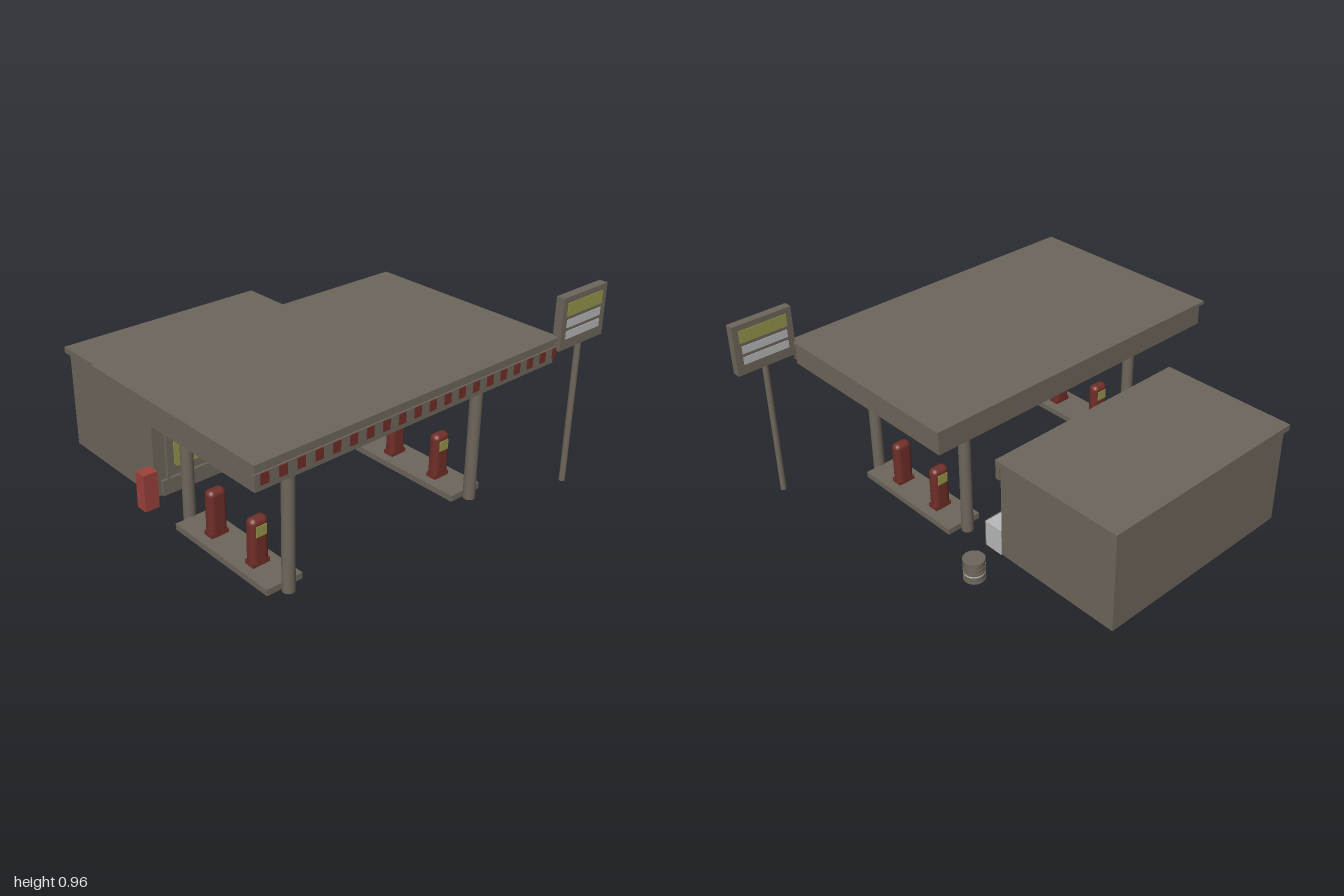
import * as THREE from 'three';
import { RoundedBoxGeometry } from 'three/addons/geometries/RoundedBoxGeometry.js';

export function createModel() {
  const root = new THREE.Group();
  root.name = 'fillingStation';
  const mat = (name, color) => {
    const m = new THREE.MeshStandardMaterial({ color });
    m.name = name;
    return m;
  };
  const stone = mat('warm grey', 0x6e665b);
  const darkRed = mat('dark red', 0x702e28);
  const red = mat('red', 0x9a423c);
  const olive = mat('olive yellow', 0x96964c);
  const pale = mat('pale grey', 0xb8b9ba);

  const add = (parent, name, geo, material, x = 0, y = 0, z = 0) => {
    const m = new THREE.Mesh(geo, material);
    m.name = name;
    m.position.set(x, y, z);
    parent.add(m);
    return m;
  };
  // Box given by its low and high limits on each axis
  const box = (parent, name, material, x0, x1, y0, y1, z0, z1) =>
    add(parent, name, new THREE.BoxGeometry(x1 - x0, y1 - y0, z1 - z0), material,
      (x0 + x1) / 2, (y0 + y1) / 2, (z0 + z1) / 2);
  const post = (parent, name, r, y0, y1, x, z, material = stone) =>
    add(parent, name, new THREE.CylinderGeometry(r, r, y1 - y0, 24), material, x, (y0 + y1) / 2, z);
  const group = (name) => {
    const g = new THREE.Group();
    g.name = name;
    root.add(g);
    return g;
  };

  // Canopy with a chequered front band and lamps underneath
  const canopy = group('canopy');
  box(canopy, 'canopyRoof', stone, -1, 0.7, 0.765, 0.78, -0.175, 0.903);
  box(canopy, 'canopyFascia', stone, -0.985, 0.685, 0.655, 0.765, -0.16, 0.885);
  box(canopy, 'frontBand', stone, -0.992, 0.692, 0.68, 0.732, 0.885, 0.892);
  for (let i = 0; i < 20; i++) {
    const x = -0.947 + i * 0.0859;
    box(canopy, 'bandSquare', darkRed, x - 0.019, Math.min(x + 0.019, 0.694), 0.683, 0.73, 0.89, 0.896);
  }
  for (const x of [-0.46, -0.15]) box(canopy, 'lamp', pale, x - 0.093, x + 0.093, 0.65, 0.656, 0.33, 0.42);

  // Pump islands with canopy posts at both ends
  for (const x of [-0.69, 0.394]) {
    const island = group('pumpIsland');
    box(island, 'kerb', stone, x - 0.093, x + 0.093, 0, 0.03, 0.055, 0.69);
    for (const z of [0.03, 0.713]) post(island, 'canopyPost', 0.029, 0, 0.66, x, z);
    for (const [z, side] of [[0.513, 1], [0.23, -1]]) {
      add(island, 'pump', new RoundedBoxGeometry(0.092, 0.25, 0.058, 5, 0.026), darkRed, x, 0.131, z);
      box(island, 'pumpBase', darkRed, x - 0.045, x + 0.045, 0.03, 0.05, z - 0.028, z + 0.028);
      const face = z + side * 0.03;
      box(island, 'pumpDisplay', olive, x - 0.027, x + 0.027, 0.175, 0.225, face - 0.003, face + 0.003);
    }
  }

  // Shop building
  const shop = group('shop');
  box(shop, 'shopWalls', stone, -0.705, 0.403, 0, 0.5, -0.905, -0.22);
  box(shop, 'shopRoof', stone, -0.725, 0.422, 0.5, 0.53, -0.92, -0.207);
  box(shop, 'nameBoard', stone, -0.708, 0.41, 0.42, 0.507, -0.22, -0.195);
  box(shop, 'sill', stone, -0.67, 0.215, 0, 0.08, -0.22, -0.206);
  for (const x of [-0.635, 0.043, 0.115, 0.27])
    box(shop, 'frameBar', stone, x - 0.006, x + 0.006, x > 0.1 ? 0 : 0.08, 0.372, -0.22, -0.204);

  // Windows with rounded corners
  const pane = (w, h, r) => {
    const s = new THREE.Shape();
    s.moveTo(-w / 2 + r, -h / 2);
    s.absarc(w / 2 - r, -h / 2 + r, r, -Math.PI / 2, 0);
    s.absarc(w / 2 - r, h / 2 - r, r, 0, Math.PI / 2);
    s.absarc(-w / 2 + r, h / 2 - r, r, Math.PI / 2, Math.PI);
    s.absarc(-w / 2 + r, -h / 2 + r, r, Math.PI, Math.PI * 1.5);
    return new THREE.ExtrudeGeometry(s, { depth: 0.006, bevelEnabled: false, curveSegments: 5 });
  };
  for (const x of [-0.45, -0.16]) add(shop, 'window', pane(0.286, 0.222, 0.02), olive, x, 0.235, -0.221);
  box(shop, 'windowPoster', stone, -0.54, -0.44, 0.152, 0.285, -0.216, -0.211);

  // Ice chest with a grey front
  box(root, 'iceChest', pale, 0.212, 0.408, 0, 0.138, -0.22, -0.118);
  box(root, 'iceChestFront', stone, 0.212, 0.408, 0, 0.138, -0.118, -0.112);

  // Vending machine beside the shop
  box(root, 'vendingMachine', red, -0.808, -0.733, 0, 0.187, -0.21, -0.145);

  // Ribbed barrel
  const barrel = group('barrel');
  post(barrel, 'barrelBody', 0.049, 0, 0.11, 0.595, -0.25);
  for (const y of [0.004, 0.052, 0.076, 0.106]) post(barrel, 'barrelRib', 0.052, y - 0.004, y + 0.004, 0.595, -0.25);
  post(barrel, 'barrelStripe', 0.0505, 0.034, 0.041, 0.595, -0.25, pale);

  // Roadside price sign, painted on both faces
  const sign = group('priceSign');
  post(sign, 'signPost', 0.015, 0, 0.72, 0.844, 0.897);
  box(sign, 'signBoard', stone, 0.69, 0.996, 0.715, 0.963, 0.87, 0.912);
  for (const z of [0.87, 0.912]) {
    box(sign, 'signHeader', olive, 0.72, 0.966, 0.873, 0.935, z - 0.003, z + 0.003);
    for (const y of [0.783, 0.837]) box(sign, 'signRow', pale, 0.724, 0.96, y - 0.019, y + 0.019, z - 0.003, z + 0.003);
  }
  return root;
}
